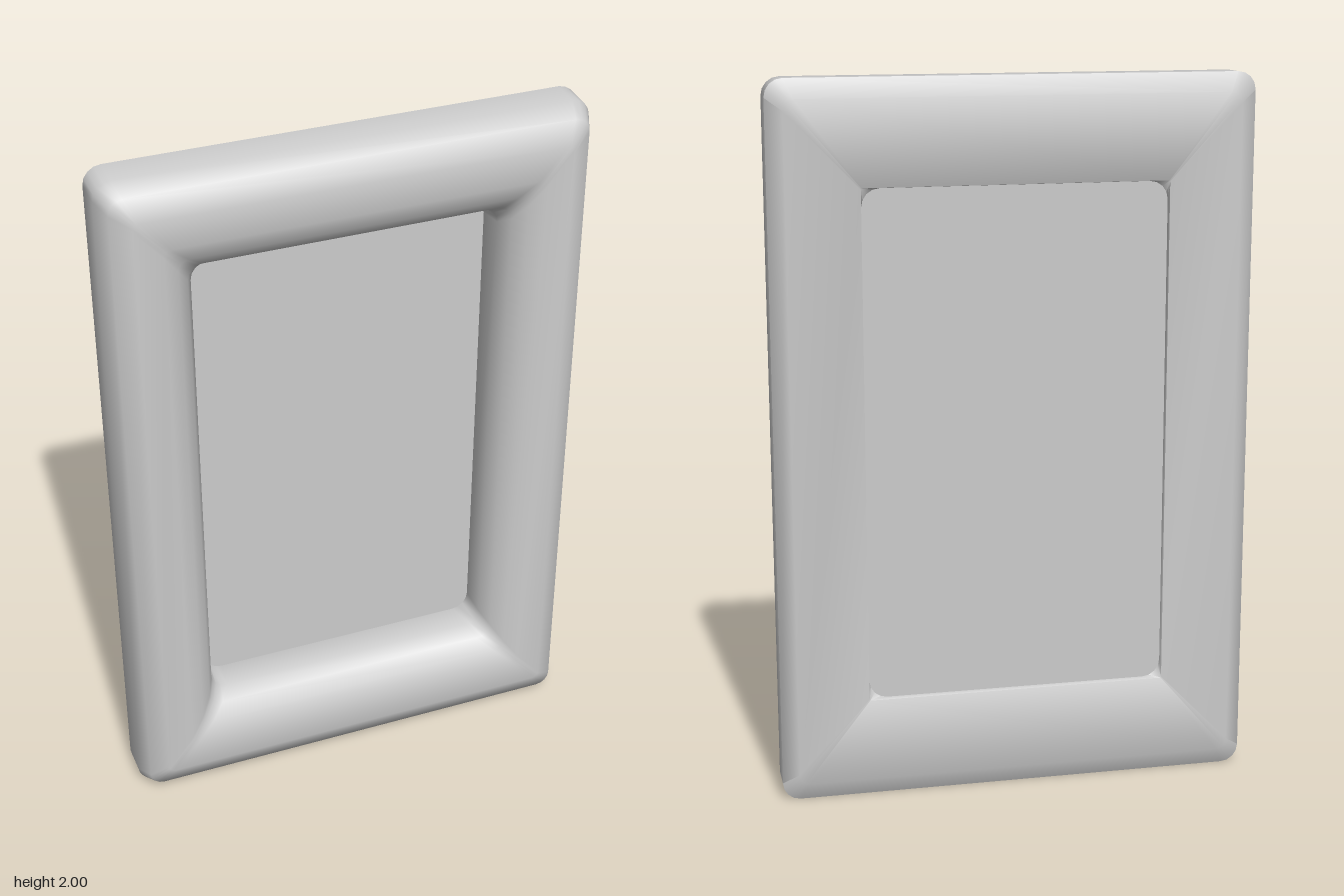
import * as THREE from 'three';
import { toCreasedNormals } from 'three/addons/utils/BufferGeometryUtils.js';

const HALF_W = 0.667, HALF_H = 1, CORNER_STEPS = 4;

// One rounded-rectangle loop, inset from the outer edge, counter-clockwise from the front
function loop(inset, z, r) {
  const hx = HALF_W - inset, hy = HALF_H - inset * 1.17;
  const points = [];
  [[1, 1], [-1, 1], [-1, -1], [1, -1]].forEach(([sx, sy], q) => {
    for (let k = 0; k <= CORNER_STEPS; k++) {
      const a = (q + k / CORNER_STEPS) * Math.PI / 2;
      points.push(sx * (hx - r) + r * Math.cos(a), sy * (hy - r) + r * Math.sin(a), z);
    }
  });
  return points;
}

// Skin a closed cross-section of [inset, z, corner radius] around the rectangle
function mouldingGeometry(section) {
  const n = 4 * (CORNER_STEPS + 1), m = section.length;
  const positions = section.flatMap(s => loop(...s));
  const index = [];
  for (let i = 0; i < m; i++) {
    for (let j = 0; j < n; j++) {
      const a = i * n + j, b = i * n + (j + 1) % n;
      const c = ((i + 1) % m) * n + j, d = ((i + 1) % m) * n + (j + 1) % n;
      index.push(a, c, d, a, d, b);
    }
  }
  const g = new THREE.BufferGeometry();
  g.setAttribute('position', new THREE.Float32BufferAttribute(positions, 3));
  g.setIndex(index);
  return toCreasedNormals(g, 1.05);
}

export function createModel() {
  const group = new THREE.Group();
  group.name = 'pictureFrame';
  const material = new THREE.MeshStandardMaterial({ color: 0xcccccc });

  // Moulding: inner wall, rounded front, outer side, flat back
  const frame = new THREE.Mesh(mouldingGeometry([
    [0.247, -0.085, 0.05],
    [0.242, 0.0, 0.045],
    [0.222, 0.045, 0.04],
    [0.19, 0.077, 0.03],
    [0.15, 0.095, 0.02],
    [0.075, 0.097, 0.02],
    [0.024, 0.07, 0.04],
    [0.001, 0.015, 0.05],
    [0, -0.072, 0.05],
    [0.045, -0.1, 0.03],
    [0.245, -0.1, 0.004],
  ]), material);
  frame.name = 'frame';
  frame.position.y = 1;
  group.add(frame);

  // Thin panel set just in from the back
  const panel = new THREE.Mesh(new THREE.BoxGeometry(0.85, 1.44, 0.008), material);
  panel.name = 'panel';
  panel.position.set(0, 1, -0.081);
  group.add(panel);

  return group;
}
